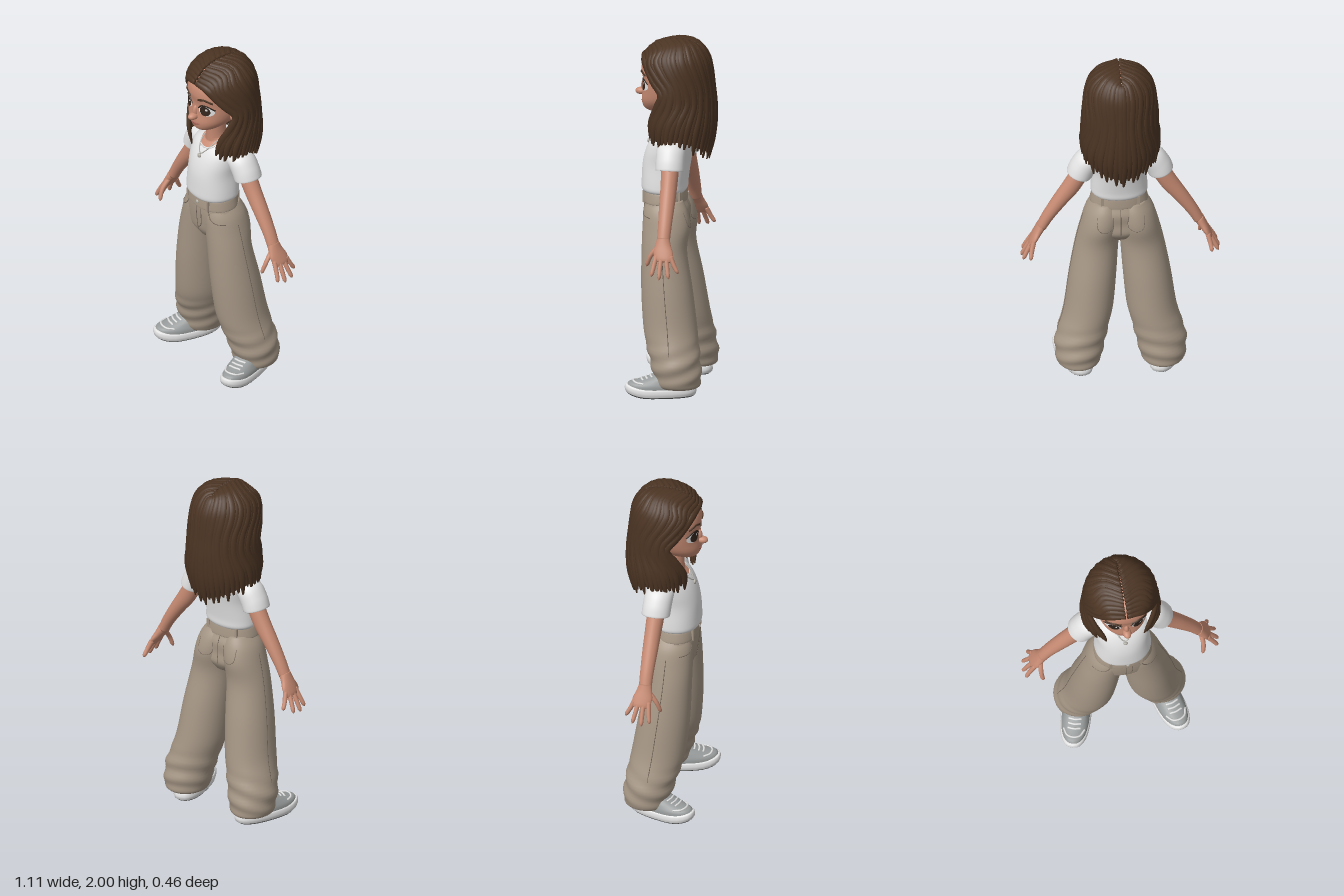
import * as THREE from 'three';
import { ParametricGeometry } from 'three/addons/geometries/ParametricGeometry.js';

const V = (x, y, z) => new THREE.Vector3(x, y, z);
const lerp = THREE.MathUtils.lerp;
const mat = (name, color, side = THREE.FrontSide) => Object.assign(new THREE.MeshStandardMaterial({ color, side }), { name });

// Skin a list of equal-sized closed rings, with end caps
function skin(rings) {
  const n = rings[0].length, m = rings.length, pos = [], idx = [];
  const mid = r => r.reduce((s, p) => s.add(p), V(0, 0, 0)).divideScalar(n);
  [...rings.flat(), mid(rings[0]), mid(rings[m - 1])].forEach(p => pos.push(p.x, p.y, p.z));
  for (let j = 0; j < n; j++) {
    const k = (j + 1) % n;
    for (let i = 0; i < m - 1; i++) {
      const a = i * n + j, b = i * n + k;
      idx.push(a, a + n, b, b, a + n, b + n);
    }
    idx.push(m * n, j, k, m * n + 1, (m - 1) * n + k, (m - 1) * n + j);
  }
  const g = new THREE.BufferGeometry();
  g.setAttribute('position', new THREE.Float32BufferAttribute(pos, 3));
  g.setIndex(idx);
  g.computeVertexNormals();
  return g;
}

// Loft upward through rows [x, y, z, halfWidth, front, back, tilt], smoothed between rows
function loft(rows, side = 1, power = 2, seg = 28) {
  const R = rows.map(r => [r[0] * side, r[1], r[2], r[3], r[4], r[5] ?? r[4], (r[6] ?? 0) * side]);
  const at = i => R[Math.min(Math.max(i, 0), R.length - 1)], rings = [], steps = 5;
  const bend = v => Math.sign(v) * Math.abs(v) ** (2 / power);
  for (let s = 0; s <= (R.length - 1) * steps; s++) {
    const i = Math.floor(s / steps), t = s / steps - i;
    const [x, y, z, w, f, b, tilt] = R[0].map((_, c) => {
      const [p, q, u, v] = [at(i - 1)[c], at(i)[c], at(i + 1)[c], at(i + 2)[c]];
      return 0.5 * (2 * q + (u - p) * t + (2 * p - 5 * q + 4 * u - v) * t * t + (3 * q - p - 3 * u + v) * t ** 3);
    });
    rings.push(Array.from({ length: seg }, (_, j) => {
      const a = j / seg * Math.PI * 2, c = bend(Math.cos(a)) * w, d = bend(Math.sin(a));
      return V(x + c * Math.cos(tilt), y + c * Math.sin(tilt), z + d * (d > 0 ? f : b));
    }));
  }
  return skin(rings);
}

// Sweep an oval along a path; size(t) scales it, normal(p) is its thin direction
function sweep(pts, wide, thick, size, normal, n = 12, seg = 8) {
  const curve = new THREE.CatmullRomCurve3(pts), rings = [];
  for (let i = 0; i <= n; i++) {
    const t = i / n, p = curve.getPoint(t), T = curve.getTangent(t), N = normal(p);
    N.addScaledVector(T, -N.dot(T)).normalize();
    const B = N.clone().cross(T), k = size(t);
    rings.push(Array.from({ length: seg }, (_, j) => {
      const a = j / seg * Math.PI * 2;
      return p.clone().addScaledVector(N, Math.cos(a) * thick * k).addScaledVector(B, Math.sin(a) * wide * k);
    }));
  }
  return skin(rings);
}

// Project onto meshes along a direction, then lay cords or thin patches there
const ray = new THREE.Raycaster();
function probe(targets, p, dir, lift = 0) {
  ray.set(p.clone().addScaledVector(dir, -2), dir);
  const hit = ray.intersectObjects(targets)[0];
  return hit ? hit.point.addScaledVector(dir, -lift) : null;
}
function cord(targets, pts, dir, r, lift = 0) {
  const path = new THREE.CatmullRomCurve3(pts).getPoints(20).map(p => probe(targets, p, dir, lift)).filter(Boolean);
  return new THREE.TubeGeometry(new THREE.CatmullRomCurve3(path), 30, r, 6);
}
function patch(targets, x, y, w, h, lift) {
  const g = new THREE.RingGeometry(0, 1, 28, 6), p = g.attributes.position;
  for (let i = 0; i < p.count; i++) {
    const q = V(x + p.getX(i) * w, y + p.getY(i) * h, 0), hit = probe(targets, q, V(0, 0, -1), lift);
    p.setXYZ(i, q.x, q.y, hit ? hit.z : 0.06);
  }
  g.computeVertexNormals();
  return g;
}

// Hair envelope: [y, halfWidth, front, back, azimuth of the face edge]
const HAIR = [[2, .02, .02, .02, 20], [1.97, .1, .1, .11, 20], [1.93, .155, .165, .15, 20], [1.88, .182, .2, .175, 28],
  [1.8, .197, .195, .19, 50], [1.7, .203, .175, .2, 74], [1.6, .21, .165, .21, 52], [1.5, .22, .17, .21, 35],
  [1.42, .215, .16, .2, 30], [1.28, .18, .14, .17, 30]];
// Path of a lock: s = 0 beside the face, s = 1 at the back
function lockPath(s, side, inset, extra = 0) {
  const z = lerp(.185, -.13, s), top = 1.99 - 2.6 * Math.max(0, Math.abs(z) - .02) ** 2 - (z > .12 ? (z - .12) * .3 : 0);
  const end = lerp(1.42, 1.33, THREE.MathUtils.smoothstep(s, .45, 1)) + extra, pts = [V(side * .006, top - inset, z)];
  for (const u of [0, .1, .22, .38, .56, .78, 1]) {
    const y = lerp(top - .02, end, u), i = Math.max(1, HAIR.findIndex(r => r[0] <= y)), a = HAIR[i - 1], b = HAIR[i];
    const [, w, f, k, edge] = a.map((v, c) => lerp(v, b[c], (a[0] - y) / (a[0] - b[0])));
    const phi = THREE.MathUtils.degToRad(lerp(edge, 178, s)), c = Math.cos(phi);
    pts.push(V(side * (w - inset) * Math.sin(phi), y, -.01 + c * ((c > 0 ? f : k) - inset)));
  }
  return pts;
}

export function createModel() {
  const root = new THREE.Group();
  root.name = 'girl';
  const hair = mat('hair brown', 0x4b3423, THREE.DoubleSide), skinTone = mat('skin', 0xc68a72), white = mat('white', 0xe2e2e2, THREE.DoubleSide);
  const pants = mat('khaki', 0xa59685), seam = mat('seam brown', 0x75685b), grey = mat('shoe grey', 0x989b9b);
  const dark = mat('sole grey', 0x5c5d5e), iris = mat('iris', 0x33251d), lip = mat('lip', 0xa9655a), metal = mat('silver', 0xb5b2aa);
  const add = (name, geo, m, parent = root) => {
    const o = new THREE.Mesh(geo, m);
    o.name = name;
    parent.add(o);
    return o;
  };
  const ball = (x, y, z, a, b, c) => new THREE.SphereGeometry(1, 20, 14).scale(a, b, c).translate(x, y, z);
  const back = V(0, 0, -1), forth = V(0, 0, 1);

  // Head, neck and face
  const head = add('head', loft([[0, 1.572, .11, .02, .03], [0, 1.58, .1, .05, .065, .06], [0, 1.602, .08, .085, .105, .09],
    [0, 1.645, .05, .125, .142, .12], [0, 1.7, .03, .147, .155, .16], [0, 1.76, .03, .154, .153, .18], [0, 1.82, .03, .154, .163, .18],
    [0, 1.88, .02, .14, .158, .16], [0, 1.93, .01, .1, .11, .12], [0, 1.955, 0, .02, .03]], 1, 2.2, 48), skinTone);
  const neck = add('neck', loft([[0, 1.42, .015, .085, .09], [0, 1.46, .02, .07, .075, .07], [0, 1.51, .035, .052, .06], [0, 1.62, .04, .052, .06]]), skinTone);
  add('nose', ball(0, 1.678, .197, .024, .021, .035), skinTone);
  add('noseBridge', ball(0, 1.705, .178, .016, .04, .022), skinTone);
  add('mouth', cord([head], [V(-.042, 1.641, 0), V(-.015, 1.632, 0), V(.015, 1.632, 0), V(.042, 1.641, 0)], back, .004), lip);
  add('lowerLip', patch([head], 0, 1.626, .022, .007, .003), lip);
  for (const s of [1, -1]) {
    add('ear', ball(s * .153, 1.69, .03, .018, .036, .027), skinTone);
    add('eyeWhite', patch([head], s * .073, 1.735, .044, .032, .002), white);
    add('iris', patch([head], s * .069, 1.735, .03, .031, .004), iris);
    add('eyeGlint', patch([head], s * .069 + .011, 1.746, .007, .007, .006), white);
    add('lashLine', cord([head], [V(s * .026, 1.742, 0), V(s * .05, 1.765, 0), V(s * .085, 1.768, 0), V(s * .118, 1.748, 0)], back, .0045), iris);
    add('eyebrow', cord([head], [V(s * .03, 1.798, 0), V(s * .07, 1.812, 0), V(s * .112, 1.796, 0)], back, .0065), hair);
  }

  // Hair: an under-layer with overlapping tapered locks on each side of the parting
  const locks = 19;
  for (const s of [1, -1]) {
    const half = new THREE.Group();
    half.name = s > 0 ? 'leftHair' : 'rightHair';
    root.add(half);
    add('hairUnderLayer', new ParametricGeometry((u, v, out) => out.copy(new THREE.CatmullRomCurve3(lockPath(u, s, .006, .03)).getPoint(v)), 36, 24), hair, half);
    for (let i = 0; i < locks; i++) {
      const path = lockPath(i / (locks - 1), s, .002 + .003 * (i % 2), .022 * Math.sin(i * 2.4 + s));
      const size = t => Math.min(1, .6 + t * 2.5) * (t > .8 ? 1 - .75 * ((t - .8) / .2) ** 2 : 1);
      add('lock', sweep(path, .023, .014, size, p => V(p.x, p.y - Math.min(p.y - .02, 1.8), p.z + .01), 26, 10), hair, half);
    }
  }

  // Shirt with neckline, sleeves and necklace
  const shirt = add('shirt', loft([[0, 1.115, .05, .135, .125, .1], [0, 1.135, .05, .157, .14, .112], [0, 1.18, .05, .157, .141, .115],
    [0, 1.28, .045, .148, .14, .125], [0, 1.36, .03, .155, .135, .125], [0, 1.42, .015, .155, .12, .115], [0, 1.46, 0, .125, .1, .09], [0, 1.485, 0, .08, .07, .07]], 1, 2.2, 40), white);
  add('neckline', patch([shirt, neck], 0, 1.472, .066, .034, .003), skinTone);
  add('collar', cord([shirt, neck], [V(-.07, 1.475, 0), V(-.045, 1.447, 0), V(0, 1.437, 0), V(.045, 1.447, 0), V(.07, 1.475, 0)], back, .005), white);
  add('necklace', cord([shirt, neck], [V(-.055, 1.49, 0), V(-.035, 1.44, 0), V(0, 1.405, 0), V(.035, 1.44, 0), V(.055, 1.49, 0)], back, .0035, .004), metal);
  add('pendant', ball(0, 1.392, .156, .014, .014, .008), metal);

  for (const s of [1, -1]) {
    // Sleeve, arm and hand
    add('sleeve', loft([[.228, 1.29, -.01, .07, .078, .078, .3], [.224, 1.3, -.01, .073, .08, .08, .34], [.205, 1.34, -.008, .074, .08, .08, .5],
      [.17, 1.385, -.005, .07, .08, .08, .8], [.11, 1.405, 0, .05, .075, .075, 1.2]], s), white);
    add('arm', loft([[.437, .95, -.018, .03, .036, .036, .5], [.4, 1.02, -.018, .034, .038, .038, .5], [.335, 1.12, -.016, .042, .043, .043, .53],
      [.272, 1.21, -.014, .05, .046, .046, .53], [.215, 1.31, -.01, .05, .05, .05, .53]], s), skinTone);
    add('palm', loft([[.5, .846, -.032, .012, .04, .04, .5], [.492, .86, -.03, .017, .05, .05, .5], [.475, .89, -.025, .021, .055, .055, .5],
      [.455, .925, -.02, .025, .045, .045, .5], [.436, .958, -.018, .03, .036, .036, .5]], s), skinTone);
    const round = t => (1 - .2 * t) * Math.sqrt(1.02 - Math.max(0, (t - .8) / .2) ** 2);
    const digit = (name, pts) => add(name, sweep(pts.map(p => V(s * p[0], p[1], p[2])), .0145, .0135, round, () => V(0, 0, 1), 14, 10), skinTone);
    [[.012, .54, .77, .03], [-.016, .55, .755, -.015], [-.044, .543, .762, -.068], [-.068, .505, .785, -.115]].forEach(([z, x, y, tz], i) =>
      digit('finger', [[.484, .875, z], [lerp(.488, x, .55), lerp(.865, y, .5), lerp(z, tz, .5)], [x, y, tz]]));
    digit('thumb', [[.452, .925, .005], [.457, .865, .05], [.448, .8, .075]]);
  }

  // Trousers: hips, waistband and wide legs
  const cloth = [add('hips', loft([[0, .85, .04, .08, .09], [0, .9, .04, .17, .12], [0, .96, .04, .198, .13, .115], [0, 1.02, .05, .183, .125, .125],
    [0, 1.07, .06, .158, .115, .115], [0, 1.115, .06, .143, .112, .11]], 1, 2.2, 40), pants)];
  cloth.push(add('waistband', loft([[0, 1.065, .06, .156, .117, .117], [0, 1.07, .06, .162, .121, .121], [0, 1.12, .06, .149, .117, .115], [0, 1.125, .06, .143, .112, .11]], 1, 2.2, 40), pants));
  for (const s of [1, -1]) {
    const leg = loft([[.235, .055, -.06, .105, .115], [.235, .07, -.058, .122, .125, .128], [.232, .12, -.05, .132, .13, .138], [.223, .2, -.04, .141, .14],
      [.197, .3, -.02, .138, .15, .145], [.173, .4, 0, .137, .15], [.15, .6, .02, .132, .145, .14], [.125, .8, .04, .121, .128, .125],
      [.102, .93, .04, .113, .128, .137], [.085, 1.02, .045, .103, .12, .125], [.075, 1.08, .05, .075, .1, .1]], s, 2, 40);
    // Soft folds gathering toward the cuff
    const p = leg.attributes.position;
    for (let i = 0; i < p.count; i++) {
      const y = p.getY(i), z = p.getZ(i), cx = s * lerp(.235, .15, Math.min(1, y / .6));
      const fold = .03 * THREE.MathUtils.smoothstep(.34 - y, 0, .12) * THREE.MathUtils.smoothstep(y, .05, .12) * Math.sin(y * 62 + z * 18 + s * p.getX(i) * 10);
      p.setX(i, p.getX(i) + (p.getX(i) - cx) * fold);
      p.setZ(i, z + (z + .04) * fold * 1.4);
    }
    leg.computeVertexNormals();
    const mesh = add('trouserLeg', leg, pants);
    cloth.push(mesh);
    add('sideSeam', cord([mesh], [V(0, .98, .04), V(0, .8, .03), V(0, .5, .0), V(0, .25, -.03)], V(-s, 0, 0), .002), seam);
  }
  for (const s of [1, -1]) {
    add('frontPocket', cord(cloth, [V(s * .085, 1.065, 0), V(s * .1, 1.025, 0), V(s * .135, 1, 0), V(s * .18, .995, 0)], back, .0025), seam);
    add('backPocket', cord(cloth, [V(s * .04, 1.02, 0), V(s * .045, .95, 0), V(s * .085, .93, 0), V(s * .125, .95, 0), V(s * .13, 1.02, 0)], forth, .0015), seam);
    for (const [x, dir] of [[.085, back], [.1, forth]]) {
      const p = probe(cloth, V(s * x, 1.095, 0), dir);
      add('beltLoop', new THREE.BoxGeometry(.016, .07, .014).translate(p.x, p.y, p.z), pants);
    }
  }
  add('fly', cord(cloth, [V(.035, 1.06, 0), V(.036, .98, 0), V(.025, .935, 0), V(0, .915, 0)], back, .0025), seam);
  add('frontSeam', cord(cloth, [V(0, 1.06, 0), V(0, .98, 0), V(0, .9, 0)], back, .002), seam);
  add('backSeam', cord(cloth, [V(0, 1.06, 0), V(0, .98, 0), V(0, .9, 0)], forth, .002), seam);
  add('button', ball(.01, 1.095, .178, .011, .011, .006), metal);

  // Shoes, toes turned out and slightly lifted
  const lift = g => {
    const p = g.attributes.position;
    for (let i = 0; i < p.count; i++) p.setY(i, p.getY(i) + 1.6 * Math.max(0, p.getZ(i) - .07) ** 2);
    g.computeVertexNormals();
    return g;
  };
  for (const s of [1, -1]) {
    const shoe = new THREE.Group();
    shoe.name = s > 0 ? 'leftShoe' : 'rightShoe';
    shoe.position.set(s * .258, 0, .035);
    shoe.rotation.y = s * .28;
    root.add(shoe);
    add('tread', lift(loft([[0, 0, 0, .076, .185], [0, .008, 0, .08, .192]], s, 2.4)), dark, shoe);
    add('sole', lift(loft([[0, .007, 0, .081, .194], [0, .025, 0, .085, .2], [0, .045, 0, .082, .196], [0, .052, 0, .074, .187]], s, 2.4)), white, shoe);
    const upper = add('upper', lift(loft([[0, .04, 0, .078, .19], [0, .068, -.005, .077, .178, .182], [0, .095, -.02, .068, .135, .16], [0, .125, -.05, .058, .09, .12], [0, .17, -.07, .05, .06, .09]], s, 2.3)), grey, shoe);
    for (const z of [.05, .075, .1]) add('lace', cord([upper], [V(-.035, 0, z), V(0, 0, z + .006), V(.035, 0, z)], V(0, -1, 0), .006), white, shoe);
    add('toeBand', cord([upper], [V(-.058, 0, .1), V(-.035, 0, .14), V(0, 0, .152), V(.035, 0, .14), V(.058, 0, .1)], V(0, -1, 0), .006), white, shoe);
  }
  return root;
}
